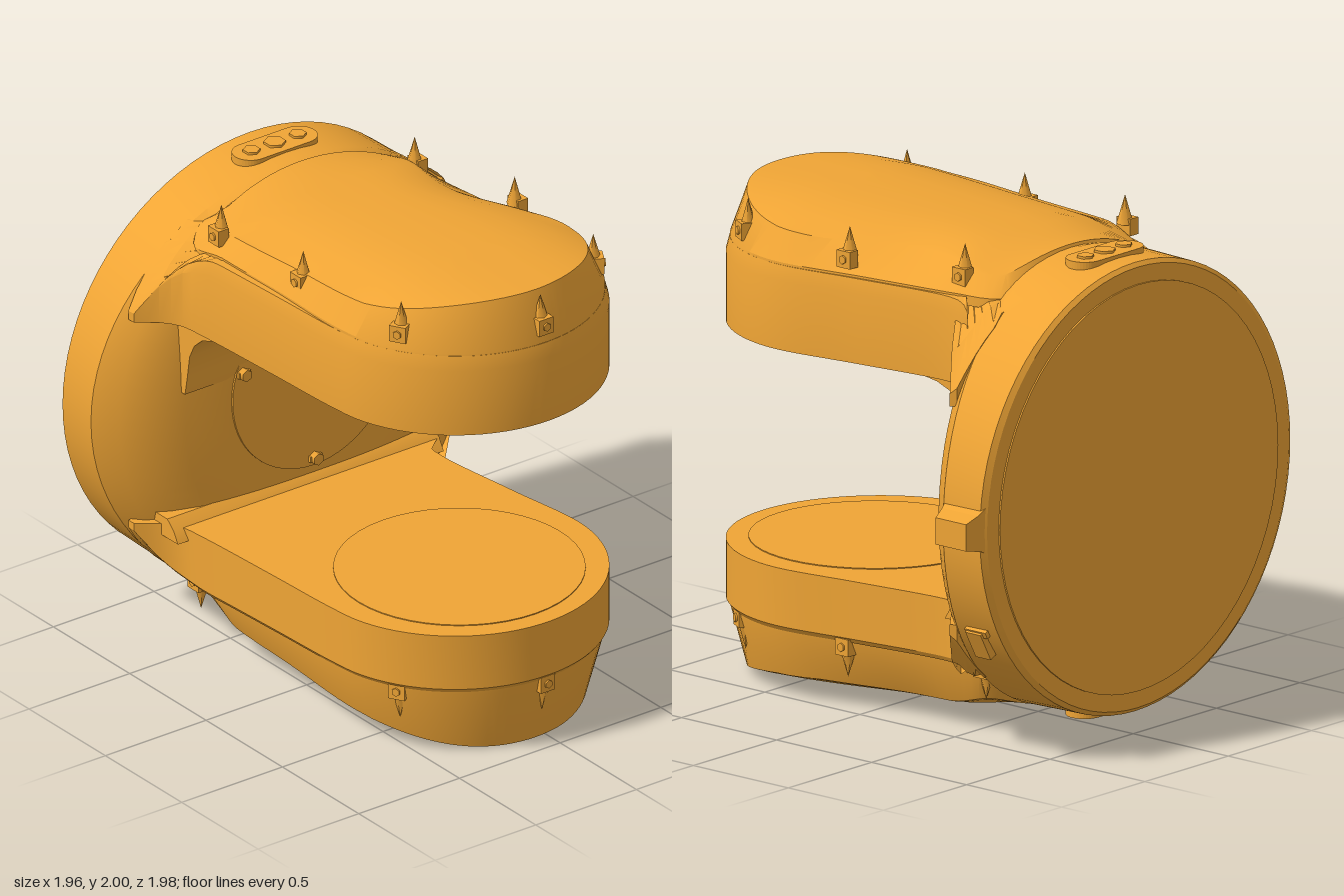
import * as THREE from 'three';
import { toCreasedNormals, mergeVertices } from 'three/addons/utils/BufferGeometryUtils.js';

const CX = -0.045; // symmetry line of the body
const mat = new THREE.MeshStandardMaterial({ color: 0xf0a535 });
const V = (x, y, z) => new THREE.Vector3(x, y, z);

function add(parent, name, geo, x = 0, y = 0, z = 0) {
  const m = new THREE.Mesh(geo, mat);
  m.name = name;
  m.position.set(x, y, z);
  parent.add(m);
  return m;
}

// Skin over equal-length rings of points, closed with a fan at both ends
function loft(rings, flip = false) {
  const n = rings[0].length, pos = [], idx = [];
  const tri = (a, b, c) => (flip ? idx.push(a, c, b) : idx.push(a, b, c));
  rings.forEach(r => r.forEach(p => pos.push(p.x, p.y, p.z)));
  for (let j = 0; j < rings.length - 1; j++) {
    for (let i = 0; i < n; i++) {
      const k = (i + 1) % n, a = j * n, b = a + n;
      tri(a + i, a + k, b + k);
      tri(a + i, b + k, b + i);
    }
  }
  [0, rings.length - 1].forEach((j, end) => {
    const c = V(0, 0, 0);
    rings[j].forEach(p => c.addScaledVector(p, 1 / n));
    const ci = pos.length / 3;
    pos.push(c.x, c.y, c.z);
    for (let i = 0; i < n; i++) {
      const a = j * n + i, b = j * n + (i + 1) % n;
      if (end) tri(ci, a, b); else tri(ci, b, a);
    }
  });
  const g = new THREE.BufferGeometry();
  g.setAttribute('position', new THREE.Float32BufferAttribute(pos, 3));
  g.setIndex(idx);
  return toCreasedNormals(g, 0.45);
}

// Plan outline of an arm: left side, round nose, right side, back
function outline(left, right, radius) {
  const pts = left.map(([x, z]) => V(x, 0, z));
  for (let i = 0; i <= 12; i++) {
    const a = Math.PI * (1 - i / 12);
    pts.push(V(CX + radius * Math.cos(a), 0, 0.37 + radius * Math.sin(a)));
  }
  right.forEach(([x, z]) => pts.push(V(x, 0, z)));
  return new THREE.CatmullRomCurve3(pts, true).getSpacedPoints(120).slice(0, -1);
}
const shellPlan = outline(
  [[-0.6, -0.74], [-0.86, -0.7], [-0.77, -0.62], [-0.715, -0.54], [-0.7, -0.43], [-0.675, 0]],
  [[0.52, 0], [0.475, -0.43], [0.495, -0.54], [0.57, -0.63], [0.76, -0.7], [0.5, -0.74]], 0.612);
const coverPlan = outline(
  [[-0.5, -0.67], [-0.6, -0.61], [-0.64, -0.45], [-0.64, 0]],
  [[0.5, 0], [0.44, -0.45], [0.41, -0.61], [0.32, -0.67]], 0.597);

// Ring of a plan at height h from the mid-height; h = null follows the crowned outer face
function armRing(plan, inset, h, side, scoop = 0) {
  return plan.map(p => {
    let dx = (p.x - CX) * (1 - inset / 0.6);
    const z = 0.15 + (p.z - 0.15) * (1 - inset / 0.83);
    let y = h;
    if (h === null) {
      const t = THREE.MathUtils.clamp((0.5 - z) / 1.15, 0, 1);
      y = 1 - 0.08 * Math.min(1, Math.abs(dx / 0.52) ** 3) - 0.065 * t;
      if (dx > 0) dx *= 1 - scoop * Math.exp(-(((z + 0.15) / 0.3) ** 2));
    }
    // Near the back the outer face settles onto the round hub
    const hub = Math.sqrt(Math.max(0.1, 0.935 ** 2 - dx * dx));
    const k = THREE.MathUtils.smoothstep(-z, 0.35, 0.67);
    y += (Math.min(y, hub) - y) * k;
    return V(CX + dx, 1 + side * y, z);
  });
}

function makeArm(side, name, inner, crease, seam) {
  const arm = new THREE.Group();
  arm.name = name;
  const shell = [[0, inner], [0, crease], [0.015, seam], [0.08, seam + 0.005], [0.4, seam + 0.005]];
  add(arm, 'armShell', loft(shell.map(([d, h]) => armRing(shellPlan, d, h, side)), side < 0));
  const cover = [[0, seam - 0.03], [0.002, seam + 0.01], [0.066, null], [0.09, null],
    [0.18, null], [0.3, null], [0.42, null], [0.53, null]];
  add(arm, 'armCover',
    loft(cover.map(([d, h]) => armRing(coverPlan, d, h, side, side > 0 ? 0.24 : 0.08)), side < 0));
  add(arm, 'innerPad', new THREE.CylinderGeometry(0.5, 0.5, 0.01, 48), CX, 1 + side * (inner + 0.001), 0.4);

  // Clips around the cover edge, turned to face outward
  const spots = [[0, 0.945, 0]];
  for (const s of [-1, 1]) {
    spots.push([s * 0.49, 0.655, s * 1.05], [s * 0.54, 0.07, s * 1.57],
      [s > 0 ? 0.43 : -0.56, side > 0 ? -0.44 : -0.56, s * 1.57]);
  }
  for (const [dx, z, turn] of spots) {
    const clip = new THREE.Group();
    clip.name = 'clip';
    const out = side > 0 ? 0 : 0.01;
    clip.position.set(CX + dx + out * Math.sin(turn), 1 + side * (side > 0 ? 0.86 : 0.73), z + out * Math.cos(turn));
    clip.rotation.y = turn;
    add(clip, 'clipBody', new THREE.BoxGeometry(0.07, 0.07, 0.05));
    const tip = add(clip, 'clipTip', new THREE.ConeGeometry(0.035, 0.12, 6), 0, side * 0.07, -0.015);
    if (side < 0) tip.rotation.x = Math.PI;
    add(clip, 'clipScrew', new THREE.CylinderGeometry(0.018, 0.018, 0.012, 6), 0, 0, 0.027).rotation.x = Math.PI / 2;
    arm.add(clip);
  }
  return arm;
}

// Round hub whose front edge sits further forward at top and bottom
function makeHub() {
  const hub = new THREE.Group();
  hub.name = 'hub';
  const rows = [ // half width, half height, z at sides, z at top and bottom
    [0.905, 0.905, -0.985, -0.985], [0.932, 0.922, -0.97, -0.97], [0.935, 0.93, -0.78, -0.67],
    [0.86, 0.92, -0.69, -0.62], [0.75, 0.88, -0.625, -0.58], [0.62, 0.8, -0.575, -0.565], [0.42, 0.42, -0.558, -0.558]];
  add(hub, 'hubBody', loft(rows.map(([w, h, zs, zt]) => Array.from({ length: 80 }, (_, i) => {
    const a = i / 80 * Math.PI * 2, c = Math.cos(a), s = Math.sin(a);
    return V(CX + w * c, 1 + h * s, zs * c * c + zt * s * s);
  }))));
  const disc = (name, r, depth, y, z) =>
    add(hub, name, new THREE.CylinderGeometry(r, r, depth, 64), CX, y, z).rotation.x = Math.PI / 2;
  disc('backPlate', 0.835, 0.02, 1, -0.982);
  disc('wallDisc', 0.405, 0.02, 1.015, -0.56);

  // Screws on the inner wall
  for (const [x, y] of [[-0.4, 1.13], [0.31, 1.13], [CX, 0.645]]) {
    add(hub, 'wallScrew', new THREE.CylinderGeometry(0.026, 0.026, 0.05, 6), x, y, -0.545).rotation.x = Math.PI / 2;
    add(hub, 'screwTab', new THREE.BoxGeometry(0.06, 0.025, 0.03), x, y, -0.55);
  }

  // Oval pads with hex bolts at top and bottom
  for (const s of [-1, 1]) {
    const oval = new THREE.Shape();
    oval.absarc(0.12, 0, 0.075, -Math.PI / 2, Math.PI / 2);
    oval.absarc(-0.12, 0, 0.075, Math.PI / 2, Math.PI * 1.5);
    const pad = new THREE.ExtrudeGeometry(oval, { depth: 0.06, bevelEnabled: false, curveSegments: 10 });
    pad.translate(0, 0, -0.03).rotateX(Math.PI / 2);
    add(hub, 'boltPad', pad, CX, 1 + s * 0.908, -0.81);
    for (const dx of [-0.115, 0, 0.115]) {
      const r = dx ? 0.035 : 0.045;
      add(hub, 'hexBolt', new THREE.CylinderGeometry(r, r, 0.02, 6), CX + dx, 1 + s * 0.938, -0.81);
    }
  }

  // Pointer tab on the left edge, thicker toward the hub
  const tab = new THREE.Shape([[0.72, 0.85], [0.89, 0.93], [0.98, 0.95], [0.98, 1.06], [0.91, 1.08], [0.72, 1.17]]
    .map(p => new THREE.Vector2(...p)));
  const tabGeo = new THREE.ExtrudeGeometry(tab, { depth: 0.16, bevelEnabled: false });
  tabGeo.translate(0, 0, -0.98);
  const p = tabGeo.attributes.position;
  for (let i = 0; i < p.count; i++) {
    if (p.getZ(i) > -0.9) p.setZ(i, -0.82 + (0.98 - p.getX(i)) * 0.4);
  }
  tabGeo.computeVertexNormals();
  add(hub, 'pointerTab', tabGeo);

  // Latch on the lower left rim
  const latch = add(hub, 'latch', new THREE.BoxGeometry(0.06, 0.13, 0.08), CX + 0.79, 0.51, -0.86);
  latch.rotation.z = -0.5;
  add(hub, 'latchLip', new THREE.BoxGeometry(0.08, 0.03, 0.11), CX + 0.8, 0.57, -0.865).rotation.z = -0.5;
  return hub;
}

// Bar along x from a side profile given as [z, y]
function bar(profile, x0, x1) {
  const shape = new THREE.Shape(profile.map(([z, y]) => new THREE.Vector2(-z, y)));
  const g = new THREE.ExtrudeGeometry(shape, { depth: x1 - x0, bevelEnabled: false });
  g.rotateY(Math.PI / 2).translate(x0, 0, 0);
  return toCreasedNormals(mergeVertices(g), 0.5);
}

export function createModel() {
  const model = new THREE.Group();
  model.name = 'forkBracket';
  model.add(makeHub());
  model.add(makeArm(1, 'upperArm', 0.445, 0.73, 0.79));
  model.add(makeArm(-1, 'lowerArm', 0.452, 0.69, 0.71));
  // Rounded corner under the upper arm and a small chamfer above the lower arm
  add(model, 'upperFillet', bar([[-0.66, 1.6], [-0.66, 1.12], [-0.56, 1.12], [-0.545, 1.2], [-0.53, 1.3],
    [-0.5, 1.36], [-0.45, 1.405], [-0.38, 1.432], [-0.28, 1.448], [-0.28, 1.6]], -0.68, 0.47));
  add(model, 'lowerChamfer', bar([[-0.68, 0.5], [-0.5, 0.5], [-0.53, 0.55], [-0.57, 0.585], [-0.68, 0.585]], -0.76, 0.56));
  return model;
}
